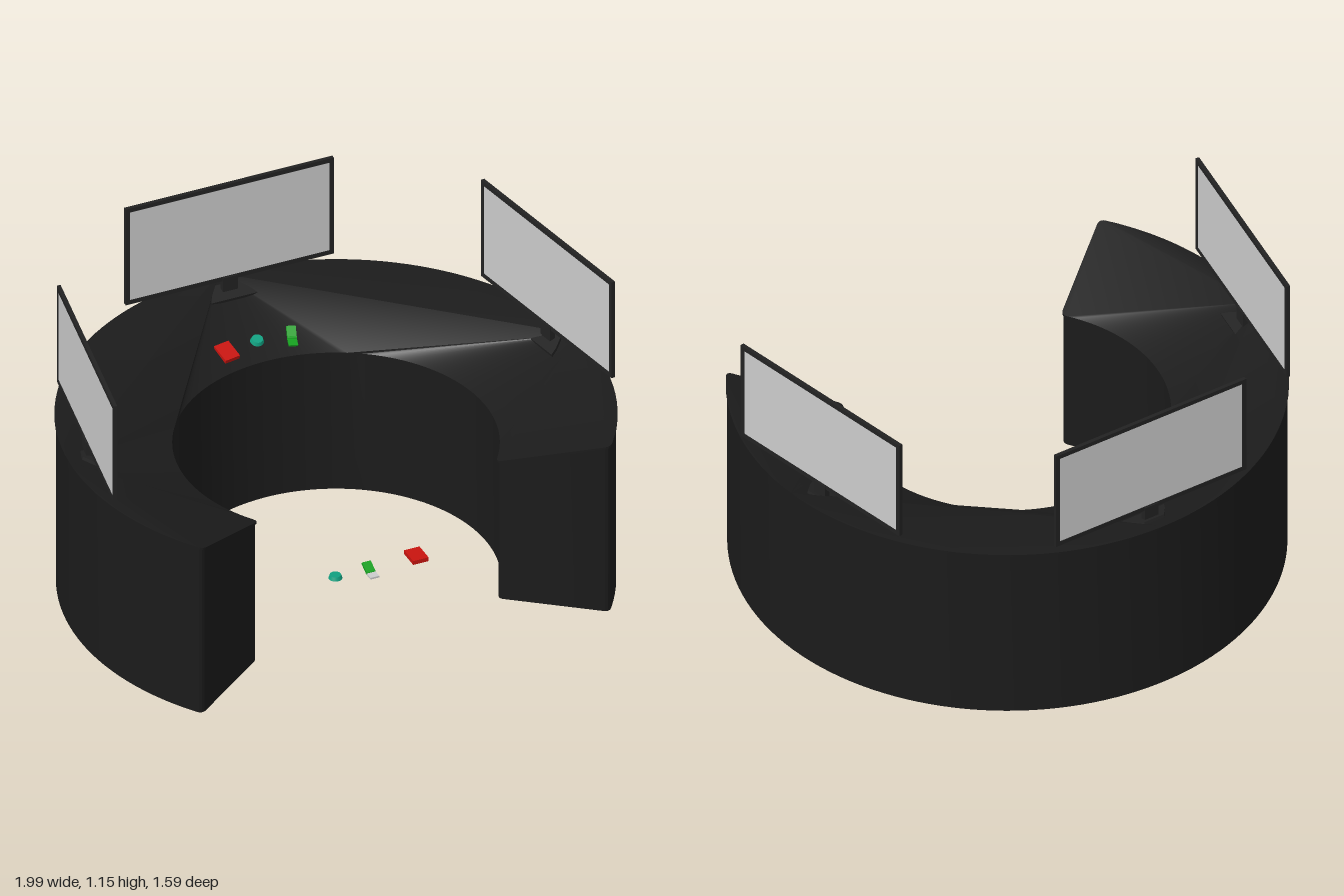
import * as THREE from 'three';
import { toCreasedNormals } from 'three/addons/utils/BufferGeometryUtils.js';

const CZ = 0.2, R_IN = 0.585, R_OUT = 0.992, END = -0.645;
const deskY = (r) => 0.6 + 0.12 * (r - R_IN) / (R_OUT - R_IN);
const mat = (color) => new THREE.MeshStandardMaterial({ color });
const dark = mat(0x1b1b1b), frameMat = mat(0x222222), grey = mat(0xcccccc);
const red = mat(0xc8140f), teal = mat(0x10a080), green = mat(0x14a01e), white = mat(0xf4f4f4);

function add(parent, name, geo, material, x = 0, y = 0, z = 0) {
  const m = new THREE.Mesh(geo, material);
  m.name = name;
  m.position.set(x, y, z);
  parent.add(m);
  return m;
}

// Horseshoe outline with softened corners
function horseshoe(grow) {
  const ro = R_OUT + grow, ri = R_IN - grow, a = END - grow, b = Math.PI - a, c = 0.025;
  const at = (r, t) => [r * Math.cos(t), r * Math.sin(t)];
  const s = new THREE.Shape();
  s.absarc(0, 0, ro, a + c / ro, b - c / ro, false);
  s.quadraticCurveTo(...at(ro, b), ...at(ro - c, b));
  s.lineTo(...at(ri + c, b));
  s.quadraticCurveTo(...at(ri, b), ...at(ri, b - c / ri));
  s.absarc(0, 0, ri, b - c / ri, a + c / ri, true);
  s.quadraticCurveTo(...at(ri, a), ...at(ri + c, a));
  s.lineTo(...at(ro - c, a));
  s.quadraticCurveTo(...at(ro, a), ...at(ro, a + c / ro));
  return s;
}

// Extrudes the outline; the top and bottom heights depend on the radius
function ringSolid(grow, bottom, top) {
  const geo = new THREE.ExtrudeGeometry(horseshoe(grow), { depth: 1, bevelEnabled: false, curveSegments: 48 });
  geo.rotateX(-Math.PI / 2);
  const p = geo.attributes.position;
  for (let i = 0; i < p.count; i++) {
    const r = Math.hypot(p.getX(i), p.getZ(i));
    p.setY(i, p.getY(i) > 0.5 ? top(r) : bottom(r));
  }
  geo.translate(0, 0, CZ);
  return toCreasedNormals(geo, 0.5);
}

function rect(w, h, Type = THREE.Shape) {
  return new Type([[-w, -h], [w, -h], [w, h], [-w, h]].map(([x, y]) => new THREE.Vector2(x / 2, y / 2)));
}

function monitor(name, x, z, turn) {
  const g = new THREE.Group();
  g.name = name;
  const W = 0.81, H = 0.405, T = 0.014, rim = 0.017, y = 0.953;
  const shape = rect(W, H);
  shape.holes.push(rect(W - 2 * rim, H - 2 * rim, THREE.Path));
  const frame = new THREE.ExtrudeGeometry(shape, { depth: T, bevelEnabled: false });
  add(g, 'screenFrame', frame, frameMat, 0, y, -T / 2);
  add(g, 'screen', new THREE.BoxGeometry(W - 2 * rim, H - 2 * rim, T * 0.7), grey, 0, y, 0);
  add(g, 'standNeck', new THREE.BoxGeometry(0.058, 0.085, 0.022), frameMat, 0, 0.722, 0);
  // Foot widens to the front and lies on the sloping top
  const foot = new THREE.Shape([[-0.09, -0.045], [0.09, -0.045], [0.075, -0.015], [0.042, 0.03], [-0.042, 0.03], [-0.075, -0.015]]
    .map(([a, b]) => new THREE.Vector2(a, b)));
  const footGeo = new THREE.ExtrudeGeometry(foot, { depth: 0.012, bevelEnabled: false });
  footGeo.rotateX(-Math.PI / 2);
  add(g, 'standFoot', footGeo, frameMat, 0, deskY(Math.hypot(x, z - CZ)) + 0.001, 0).rotation.x = 0.285;
  g.position.set(x, 0, z);
  g.rotation.y = turn;
  return g;
}

// Small hinged gadget: a raised green half and a lower plate
function gadget(name, plateMat) {
  const g = new THREE.Group();
  g.name = name;
  add(g, 'gadgetBody', new THREE.BoxGeometry(0.034, 0.01, 0.042), green, 0, 0.018, -0.018).rotation.x = 0.45;
  add(g, 'gadgetHinge', new THREE.CylinderGeometry(0.006, 0.006, 0.034, 12).rotateZ(Math.PI / 2), green, 0, 0.009, 0.001);
  add(g, 'gadgetPlate', new THREE.BoxGeometry(0.034, 0.007, 0.036), plateMat, 0, 0.006, 0.02);
  return g;
}

export function createModel() {
  const root = new THREE.Group();
  root.name = 'curvedDesk';

  // Desk body and its thin sloping top
  add(root, 'deskBody', ringSolid(0, () => 0.02, (r) => deskY(r) - 0.008), dark);
  add(root, 'deskTop', ringSolid(0.005, (r) => deskY(r) - 0.008, deskY), dark);

  // Monitors
  root.add(monitor('centreMonitor', 0, -0.71, 0));
  for (const s of [1, -1]) {
    root.add(monitor(s > 0 ? 'leftMonitor' : 'rightMonitor', s * 0.897, 0.042, -s * 1.392));
  }

  // Buttons, boxes and gadgets on the desk and inside the ring
  const button = () => new THREE.CylinderGeometry(0.02, 0.025, 0.014, 32);
  const box = () => new THREE.BoxGeometry(0.06, 0.016, 0.078);
  add(root, 'deskButton', button(), teal, 0, 0.633, -0.47).rotation.x = 0.285;
  add(root, 'floorButton', button(), teal, 0, 0.029, 0.195);
  add(root, 'deskBox', box(), red, -0.13, 0.631, -0.445).rotation.set(0.285, 0.15, 0);
  add(root, 'floorBox', box(), red, 0.315, 0.03, 0.195);
  const onDesk = gadget('deskGadget', green);
  onDesk.position.set(0.122, 0.619, -0.445);
  onDesk.rotation.set(0.285, -0.25, 0);
  const onFloor = gadget('floorGadget', white);
  onFloor.position.set(0.135, 0.004, 0.198);
  root.add(onDesk, onFloor);
  return root;
}
